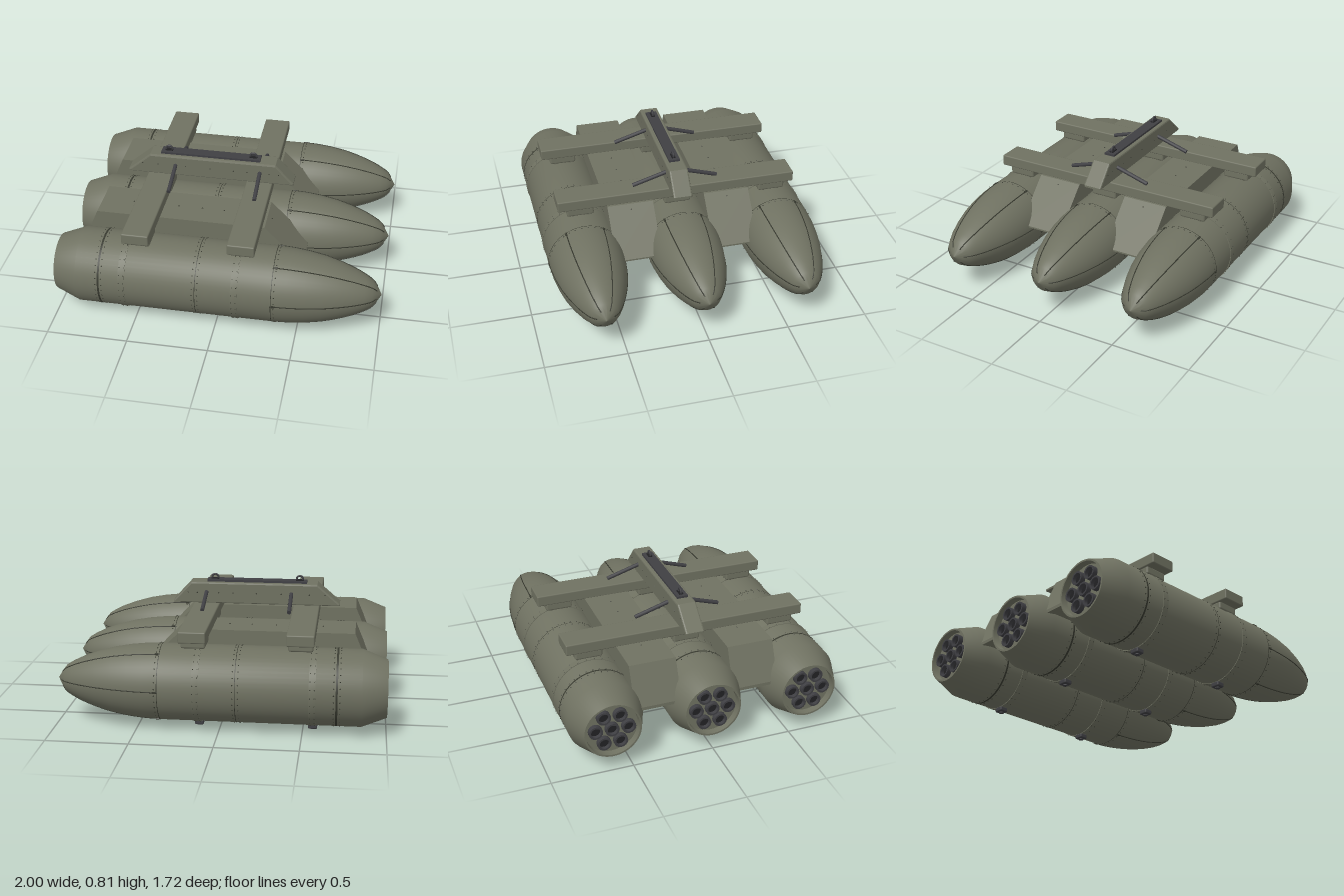
import * as THREE from 'three';
import { mergeGeometries, toCreasedNormals } from 'three/addons/utils/BufferGeometryUtils.js';
import { RoundedBoxGeometry } from 'three/addons/geometries/RoundedBoxGeometry.js';

const olive = new THREE.MeshStandardMaterial({ name: 'olive paint', color: 0x6f7161 });
const steel = new THREE.MeshStandardMaterial({ name: 'dark steel', color: 0x3f3f43 });
const seam = new THREE.MeshStandardMaterial({ name: 'seam shadow', color: 0x383a30 });
const bore = new THREE.MeshStandardMaterial({ name: 'tube bore', color: 0x222224 });

const R = 0.233, AXIS_Y = 0.27, SPACING = 0.62;
const BEAMS = [-0.483, 0.158];

function add(parent, name, geometry, material, x = 0, y = 0, z = 0) {
  const mesh = new THREE.Mesh(geometry, material);
  mesh.name = name;
  mesh.position.set(x, y, z);
  parent.add(mesh);
  return mesh;
}

// Turned shape about the x axis, from [x, radius] pairs
function turned(points, segments = 48) {
  const g = new THREE.LatheGeometry(points.map(([x, r]) => new THREE.Vector2(r, x)), segments);
  return toCreasedNormals(g.rotateZ(-Math.PI / 2), 0.4);
}

// Side outline in x and y, extruded across z and centred
function slab(outline, width, bevel = 0) {
  const shape = new THREE.Shape(outline.map(([x, y]) => new THREE.Vector2(x, y)));
  const depth = width - 2 * bevel;
  return new THREE.ExtrudeGeometry(shape, {
    depth, bevelEnabled: bevel > 0, bevelSize: bevel, bevelOffset: -bevel, bevelThickness: bevel, bevelSegments: 2,
  }).translate(0, 0, -depth / 2);
}

function rivet(x, y, z, size = 0.005) {
  return new THREE.OctahedronGeometry(size, 0).translate(x, y, z);
}

const nose = [[0.35, R], [0.45, 0.229], [0.55, 0.218], [0.65, 0.2], [0.75, 0.172],
  [0.84, 0.139], [0.9, 0.11], [0.945, 0.082], [0.97, 0.05], [1, 0]];

function makePod() {
  const pod = new THREE.Group();
  pod.name = 'pod';
  add(pod, 'podBody', turned([[-0.96, 0], [-0.96, 0.16], [-1, 0.163], [-1, 0.174], [-0.85, R], [0.35, R]]), olive);
  add(pod, 'noseCone', turned(nose), olive);

  // Launch tubes in the recessed tail
  for (let i = 0; i < 7; i++) {
    const a = i * Math.PI / 3, d = i === 6 ? 0 : 0.1;
    const y = d * Math.sin(a), z = d * Math.cos(a);
    add(pod, 'launchTube', turned([[-0.965, 0.031], [-0.99, 0.031], [-0.99, 0.042], [-0.955, 0.042]], 16), steel, 0, y, z);
    add(pod, 'tubeBore', new THREE.CircleGeometry(0.032, 16).rotateY(-Math.PI / 2), bore, -0.967, y, z);
  }

  // Panel joints
  for (const [x, w] of [[-0.703, 0.012], [-0.107, 0.004], [0.355, 0.004]])
    add(pod, 'panelJoint', turned([[x - w / 2, R + 0.0015], [x + w / 2, R + 0.0015]]), seam);

  // Rivet rings
  const rivets = [];
  for (const x of [-0.722, -0.685, -0.125, -0.092, 0.372])
    for (let i = 0; i < 36; i++) {
      const a = (i + 0.5) * Math.PI / 18;
      rivets.push(rivet(x, R * Math.sin(a), R * Math.cos(a)));
    }

  // Straps with a clamp underneath
  for (const x of [-0.56, 0.13]) {
    add(pod, 'strap', turned([[x - 0.02, R], [x - 0.02, R + 0.004], [x + 0.02, R + 0.004], [x + 0.02, R]]), olive);
    for (const s of [-0.013, 0.013])
      for (let i = 0; i < 30; i++) {
        const a = i * Math.PI / 15;
        rivets.push(rivet(x + s, (R + 0.004) * Math.sin(a), (R + 0.004) * Math.cos(a), 0.004));
      }
    add(pod, 'strapClamp', new RoundedBoxGeometry(0.054, 0.03, 0.06, 2, 0.008), steel, x, -0.249, 0);
    add(pod, 'clampBolt', new THREE.CylinderGeometry(0.016, 0.016, 0.014, 8), steel, x, -0.263, 0);
  }
  add(pod, 'rivets', mergeGeometries(rivets), seam);

  // Six seams running along the nose
  const path = new THREE.CatmullRomCurve3(nose.slice(0, 9).map(([x, r]) => new THREE.Vector3(x, 0, r)));
  for (let i = 0; i < 6; i++) {
    const g = new THREE.TubeGeometry(path, 24, 0.0035, 5);
    add(pod, 'noseSeam', g, seam).rotation.x = i * Math.PI / 3;
    add(pod, 'noseLatch', new THREE.BoxGeometry(0.02, 0.012, 0.01).translate(0.37, 0, R), seam).rotation.x = i * Math.PI / 3;
  }
  return pod;
}

export function createModel() {
  const model = new THREE.Group();
  model.name = 'triplePodRack';

  // Three pods with mounting pads
  for (const z of [-SPACING, 0, SPACING]) {
    const pod = makePod();
    pod.position.set(0, AXIS_Y, z);
    model.add(pod);
    for (const x of BEAMS) {
      add(model, 'mountPad', new RoundedBoxGeometry(0.148, 0.055, 0.17, 2, 0.012), olive, x, 0.53, z);
      add(model, 'padFoot', new THREE.BoxGeometry(0.13, 0.05, 0.11), olive, x, 0.495, z);
    }
  }

  // Fairings filling the gaps between pods
  for (const side of [-1, 1]) {
    add(model, 'fairing', slab([[-0.9, 0.3], [0.5, 0.3], [0.5, 0.31], [0.255, 0.555], [-0.8, 0.555], [-0.9, 0.32]], 0.29),
      olive, 0, 0, side * 0.31);
    const screws = [-0.6, -0.31, -0.16, -0.02, 0.13].map(x => rivet(x, 0.555, side * 0.31, 0.006));
    screws.push(rivet(0.28, 0.53, side * 0.31, 0.006));
    add(model, 'fairingScrews', mergeGeometries(screws), seam);
  }

  // Cross beams
  for (const x of BEAMS)
    add(model, 'crossBeam', new RoundedBoxGeometry(0.166, 0.07, 1.525, 2, 0.008), olive, x, 0.585, 0);

  // Central pylon
  add(model, 'pylon', slab([[-0.695, 0.62], [0.375, 0.62], [0.375, 0.632], [0.26, 0.757], [-0.55, 0.757], [-0.695, 0.632]], 0.12, 0.01), olive);
  const screws = [];
  for (const x of [-0.6, -0.5, -0.32, -0.16, -0.01, 0.08, 0.22, 0.28])
    for (const z of [-0.06, 0.06]) screws.push(rivet(x, 0.69, z));
  add(model, 'pylonScrews', mergeGeometries(screws), seam);

  // Top rail and hanging lugs
  add(model, 'topRail', new THREE.BoxGeometry(0.64, 0.014, 0.07), steel, -0.162, 0.763, 0);
  for (const x of [-0.435, 0.11]) {
    add(model, 'lugBase', new THREE.BoxGeometry(0.05, 0.008, 0.024), bore, x, 0.772, 0);
    add(model, 'hangingLug', new THREE.TorusGeometry(0.02, 0.0065, 8, 20), steel, x, 0.78, 0);
  }

  // Sloping brace rods
  for (const x of [-0.385, 0.16])
    for (const side of [-1, 1]) {
      const path = new THREE.LineCurve3(new THREE.Vector3(x, 0.695, side * 0.05), new THREE.Vector3(x, 0.627, side * 0.272));
      const length = path.getLength();
      const rod = add(model, 'braceRod', new THREE.CylinderGeometry(0.0125, 0.0125, length, 12), steel);
      rod.position.copy(path.getPoint(0.5));
      rod.quaternion.setFromUnitVectors(new THREE.Vector3(0, 1, 0), path.getTangent(0));
    }
  return model;
}
